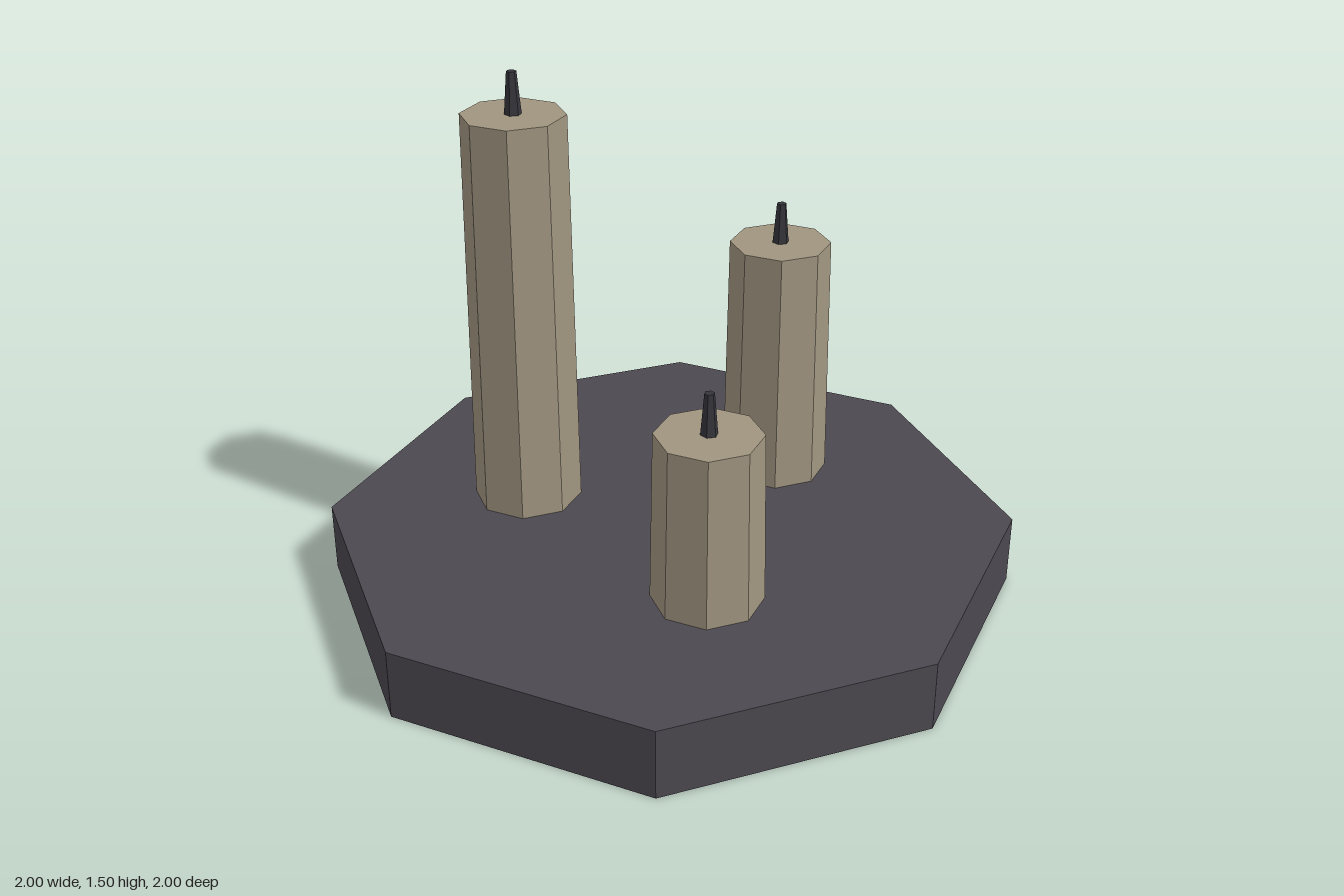
import * as THREE from 'three';

const mat = (name, color) => {
  const m = new THREE.MeshStandardMaterial({ color, flatShading: true });
  m.name = name;
  return m;
};

export function createModel() {
  const stone = mat('dark stone', 0x4c4850);
  const wax = mat('tallow wax', 0xa09580);
  const char = mat('charred wick', 0x36353c);
  const model = new THREE.Group();
  model.name = 'candlePlate';

  // Faceted upright cylinder from y0 to y1
  const prism = (name, rTop, rBottom, y0, y1, sides, material, parent) => {
    const mesh = new THREE.Mesh(new THREE.CylinderGeometry(rTop, rBottom, y1 - y0, sides), material);
    mesh.name = name;
    mesh.position.y = (y0 + y1) / 2;
    parent.add(mesh);
  };

  // Octagonal plate
  prism('plate', 1, 1, 0, 0.205, 8, stone, model);

  // Three candles in a ring: name, x, z, height of the wax
  const candles = [
    ['tallCandle', -0.223, -0.382, 1.385],
    ['middleCandle', 0.44, 0, 0.942],
    ['shortCandle', -0.218, 0.382, 0.705],
  ];
  const seat = 0.1; // candles are sunk into the plate
  for (const [name, x, z, top] of candles) {
    const candle = new THREE.Group();
    candle.name = name;
    candle.position.set(x, 0, z);
    const rSeat = 0.16 - (0.013 * seat) / top;
    prism('wax', 0.147, rSeat, seat, top, 8, wax, candle);
    prism('wick', 0.014, 0.025, top - 0.01, top + 0.119, 6, char, candle);
    model.add(candle);
  }
  return model;
}
